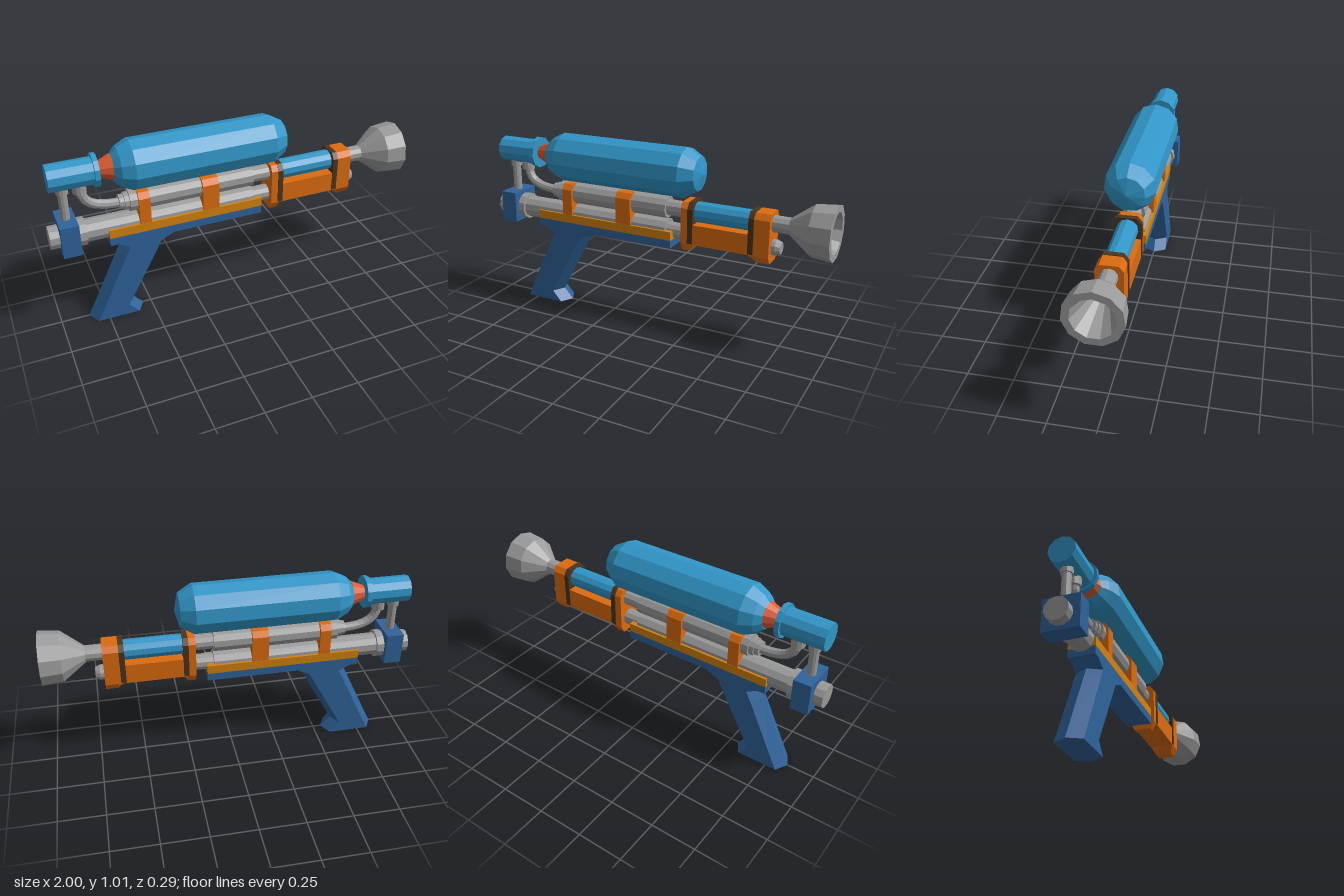
import * as THREE from 'three';

const mat = (name, color) => {
  const m = new THREE.MeshStandardMaterial({ color });
  m.name = name;
  return m;
};

export function createModel() {
  const model = new THREE.Group();
  model.name = 'waterBlaster';

  const blue = mat('tankBlue', 0x3196c8);
  const navy = mat('gripNavy', 0x2f639b);
  const gray = mat('pipeGray', 0x9a9a9a);
  const orange = mat('bodyOrange', 0xdc6b0f);
  const amber = mat('railAmber', 0xd4820f);
  const red = mat('neckRed', 0xdc5a32);
  const brown = mat('bandBrown', 0x4b3420);

  // Adds a faceted mesh
  const add = (name, geometry, material) => {
    const g = geometry.index ? geometry.toNonIndexed() : geometry;
    g.computeVertexNormals();
    const mesh = new THREE.Mesh(g, material);
    mesh.name = name;
    model.add(mesh);
    return mesh;
  };

  // Eleven-sided turned part along x; profile holds [x, radius] pairs
  const alongX = new THREE.Matrix4().makeBasis(
    new THREE.Vector3(0, 0, 1), new THREE.Vector3(1, 0, 0), new THREE.Vector3(0, 1, 0));
  const turned = (name, y, profile, material) => {
    const pts = profile.map(([x, r]) => new THREE.Vector2(r, x));
    const g = new THREE.LatheGeometry(pts, 11).applyMatrix4(alongX);
    return add(name, g.translate(0, y, 0), material);
  };
  const rod = (name, y, x0, x1, r, material) =>
    turned(name, y, [[x0, 0], [x0, r], [x1, r], [x1, 0]], material);

  const upright = (name, x, y0, y1, r, material) =>
    add(name, new THREE.CylinderGeometry(r, r, y1 - y0, 11).translate(x, (y0 + y1) / 2, 0), material);

  const box = (name, x0, x1, y0, y1, halfZ, material) =>
    add(name, new THREE.BoxGeometry(x1 - x0, y1 - y0, halfZ * 2)
      .translate((x0 + x1) / 2, (y0 + y1) / 2, 0), material);

  // Skins convex rings, counterclockwise seen from the last ring, and caps the ends
  const loft = (name, rings, material) => {
    const n = rings[0].length;
    const pos = [];
    const tri = (a, b, c) => pos.push(...a, ...b, ...c);
    for (let k = 0; k < rings.length - 1; k++) {
      for (let i = 0; i < n; i++) {
        const j = (i + 1) % n, p = rings[k], q = rings[k + 1];
        tri(p[i], p[j], q[j]);
        tri(p[i], q[j], q[i]);
      }
    }
    const first = rings[0], last = rings[rings.length - 1];
    for (let i = 1; i < n - 1; i++) {
      tri(first[0], first[i + 1], first[i]);
      tri(last[0], last[i], last[i + 1]);
    }
    const g = new THREE.BufferGeometry();
    g.setAttribute('position', new THREE.Float32BufferAttribute(pos, 3));
    return add(name, g, material);
  };

  // Bracket with chamfered top edges, grown outward by e
  const bracket = (name, x0, x1, y0, material, e = 0) => {
    const ring = (x) => [
      [x, 0.735 + e, 0.048], [x, 0.705, 0.07 + e], [x, y0, 0.07 + e],
      [x, y0, -0.07 - e], [x, 0.705, -0.07 - e], [x, 0.735 + e, -0.048]];
    return loft(name, [ring(x0), ring(x1)], material);
  };

  // Tank, neck and rear cap
  const tankY = 0.88;
  turned('tank', tankY, [[-0.65, 0], [-0.65, 0.07], [-0.617, 0.105], [-0.553, 0.135],
    [0.2, 0.135], [0.275, 0.092], [0.298, 0]], blue);
  turned('tankNeck', tankY + 0.005, [[-0.73, 0], [-0.73, 0.035], [-0.648, 0.07], [-0.648, 0]], red);
  turned('tankCap', tankY + 0.005, [[-0.97, 0], [-0.97, 0.072], [-0.745, 0.072],
    [-0.745, 0.088], [-0.72, 0.088], [-0.72, 0]], blue);

  // Upper barrel
  const upperY = 0.676;
  turned('upperBarrel', upperY, [[-0.63, 0], [-0.63, 0.04], [-0.605, 0.04], [-0.605, 0.048],
    [-0.58, 0.048], [-0.58, 0.06], [0.1, 0.06], [0.1, 0.044], [0.775, 0.044], [0.775, 0]], gray);
  rod('pumpSleeve', upperY, 0.25, 0.6, 0.056, blue);

  // Flared nozzle with a hollow mouth
  turned('nozzle', upperY - 0.002, [[0.77, 0], [0.77, 0.044], [0.89, 0.135], [1, 0.146],
    [1, 0.108], [0.82, 0.042], [0.82, 0]], gray);
  rod('nozzleCore', upperY - 0.002, 0.818, 0.826, 0.043, orange);

  // Lower barrel with collar and front knob
  const lowerY = 0.55;
  turned('lowerBarrel', lowerY, [[-1, 0], [-1, 0.062], [-0.87, 0.062], [-0.87, 0.076],
    [-0.815, 0.076], [-0.815, 0.062], [0.1, 0.062], [0.1, 0.044], [0.25, 0.044], [0.25, 0]], gray);
  turned('frontKnob', lowerY, [[0.66, 0], [0.66, 0.042], [0.705, 0.042], [0.73, 0.032], [0.73, 0]], gray);

  // Rear valve block and riser pipe
  box('valveBlock', -0.95, -0.855, 0.47, 0.645, 0.095, navy);
  upright('riserPipe', -0.903, 0.64, 0.83, 0.024, gray);
  upright('riserCollar', -0.903, 0.79, 0.825, 0.032, gray);

  // Curved hose from the cap to the upper barrel
  const hose = new THREE.CurvePath();
  const v = (x, y) => new THREE.Vector3(x, y, 0);
  hose.add(new THREE.CubicBezierCurve3(v(-0.813, 0.79), v(-0.813, 0.71), v(-0.75, 0.675), v(-0.62, 0.675)));
  add('hose', new THREE.TubeGeometry(hose, 8, 0.025, 9), gray);
  upright('hoseCollar', -0.817, 0.778, 0.83, 0.036, gray);

  // Rail and barrel straps
  box('rail', -0.705, 0.14, 0.512, 0.56, 0.071, amber);
  bracket('rearStrap', -0.54, -0.48, 0.55, orange);
  bracket('frontStrap', -0.195, -0.105, 0.55, orange);

  // Pistol grip with ridged front and back edges
  box('gripPlate', -0.705, 0.14, 0.468, 0.512, 0.07, navy);
  const gripRing = ([y, back, front]) => {
    const c = 0.038, z = 0.07;
    return [[front - c, y, z], [front, y, 0], [front - c, y, -z],
      [back + c, y, -z], [back, y, 0], [back + c, y, z]];
  };
  loft('grip', [[0, -0.85, -0.545], [0.06, -0.82, -0.6], [0.38, -0.668, -0.425],
    [0.435, -0.64, -0.395], [0.47, -0.705, -0.32]].map(gripRing), navy);

  // Pump handle: lower body with a foot at each end
  const pumpRing = ([x, y]) => [
    [x, 0.62, 0.07], [x, 0.51, 0.07], [x, y, 0.047],
    [x, y, -0.047], [x, 0.51, -0.07], [x, 0.62, -0.07]];
  loft('pumpHandle', [[0.2, 0.467], [0.242, 0.467], [0.27, 0.508], [0.575, 0.508],
    [0.62, 0.47], [0.685, 0.47]].map(pumpRing), orange);
  bracket('pumpRearBlock', 0.2, 0.264, 0.6, orange);
  bracket('pumpFrontBlock', 0.576, 0.685, 0.6, orange);
  bracket('pumpRearBand', 0.238, 0.267, 0.515, brown, 0.003);
  bracket('pumpFrontBand', 0.573, 0.602, 0.515, brown, 0.003);

  return model;
}
